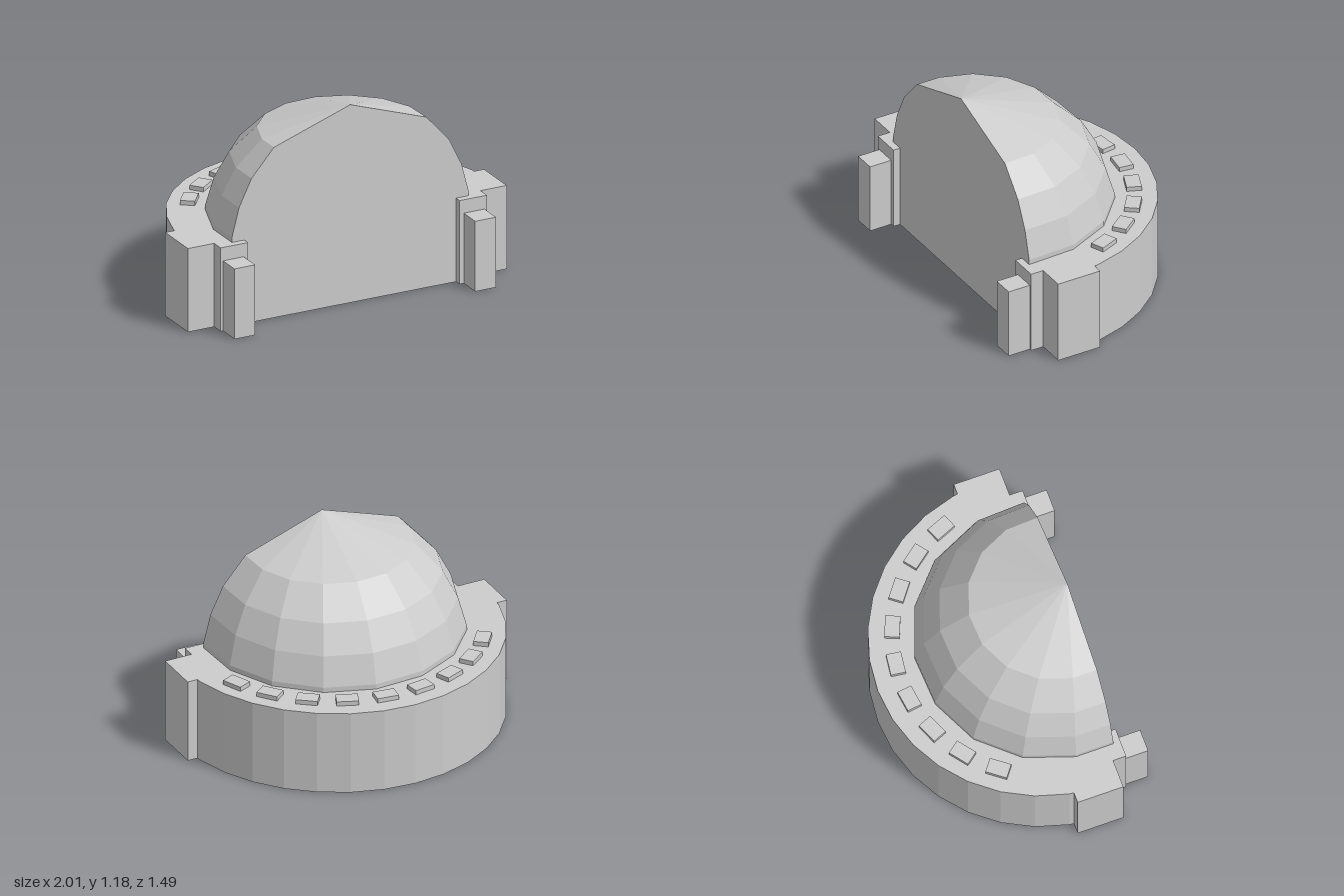
import * as THREE from 'three';

// Flat-shaded skin over rings of points, given from the lowest to the highest.
function loft(rings) {
  const pos = [];
  for (let r = 0; r < rings.length - 1; r++) {
    const a = rings[r], b = rings[r + 1];
    for (let i = 0; i < a.length - 1; i++) {
      pos.push(...a[i], ...a[i + 1], ...b[i + 1], ...a[i], ...b[i + 1], ...b[i]);
    }
  }
  return fromTriangles(pos);
}

function fromTriangles(pos) {
  const geo = new THREE.BufferGeometry();
  geo.setAttribute('position', new THREE.Float32BufferAttribute(pos, 3));
  geo.computeVertexNormals();
  return geo;
}

export function createModel() {
  const stone = new THREE.MeshStandardMaterial({ color: 0xcccccc, side: THREE.DoubleSide });
  stone.name = 'pale grey';
  stone.flatShading = true;

  const body = new THREE.Group();
  body.name = 'domedHall';
  const add = (name, geo, parent = body) => {
    const mesh = new THREE.Mesh(geo, stone);
    mesh.name = name;
    parent.add(mesh);
    return mesh;
  };

  // Plan outlines, x to the side and y towards the back
  const rad = THREE.MathUtils.degToRad;
  const plan = [[0.742, 0]];
  for (let i = 0; i < 8; i++) {
    const t = rad(13.4 + 22.7 * i);
    plan.push([0.75 * Math.cos(t), 0.12 + 0.75 * Math.sin(t)]);
  }
  plan.push([-0.742, 0]);
  const outer = [];
  for (let i = 0; i <= 16; i++) {
    const t = rad(11.25 * i);
    outer.push([0.955 * Math.cos(t), 0.14 + 0.98 * Math.sin(t)]);
  }
  const lift = (pts, y, s = 1) => pts.map(([x, v]) => [x * s, y, -v * s]);

  // Half dome with its apex on the flat front
  const levels = [[0.5, 1], [0.53, 1], [0.7, 0.94], [0.86, 0.835], [1.02, 0.645], [1.185, 0.0001]];
  add('dome', loft(levels.map(([y, s]) => lift(plan, y, s))));

  // Flat front wall following the dome profile
  const profile = [[0, 1], ...levels];
  const front = [
    ...profile.map(([y, s]) => new THREE.Vector2(0.742 * s, y)),
    ...profile.slice().reverse().map(([y, s]) => new THREE.Vector2(-0.742 * s, y)),
  ];
  add('frontWall', new THREE.ShapeGeometry(new THREE.Shape(front)));

  // Curved outer wall and its flat walkway
  add('outerWall', loft([lift(outer, 0), lift(outer, 0.5)]));
  const walk = [...outer, ...plan.slice().reverse()].map(([x, v]) => new THREE.Vector2(x, v));
  const walkway = add('walkway', new THREE.ShapeGeometry(new THREE.Shape(walk)));
  walkway.rotation.x = -Math.PI / 2;
  walkway.position.y = 0.5;

  // Small ceiling wedges under both ends of the dome
  const rim = lift(plan, 0.5);
  const n = rim.length;
  for (const i of [0, n - 2]) {
    add('ceilingWedge', fromTriangles([0, 0.5, 0, ...rim[i + 1], ...rim[i]]));
  }

  // Stepped end piers: [x0, x1, back0, back1, height]
  const piers = {
    sidePier: [0.83, 1.0, 0.035, 0.305, 0.5],
    innerPier: [0.664, 0.835, -0.042, 0.14, 0.5],
    frontPost: [0.69, 0.82, -0.178, -0.04, 0.42],
  };
  for (const side of [1, -1]) {
    for (const [name, [x0, x1, v0, v1, h]] of Object.entries(piers)) {
      const pier = add(name, new THREE.BoxGeometry(x1 - x0, h, v1 - v0));
      pier.position.set(side * (x0 + x1) / 2, h / 2, -(v0 + v1) / 2);
    }
  }

  // Raised blocks along the walkway
  const blocks = new THREE.Group();
  blocks.name = 'walkwayBlocks';
  for (let i = 0; i < 9; i++) {
    const t = rad(22.5 + 15 * i);
    const block = add('walkwayBlock', new THREE.BoxGeometry(0.085, 0.027, 0.125), blocks);
    block.position.set(0.84 * Math.cos(t), 0.513, -0.14 - 0.84 * Math.sin(t));
    block.rotation.y = t;
  }
  body.add(blocks);

  // The whole building is turned slightly
  body.rotation.y = rad(-14.1);
  body.position.set(-0.04, 0, 0.37);
  const model = new THREE.Group();
  model.name = 'model';
  model.add(body);
  return model;
}
